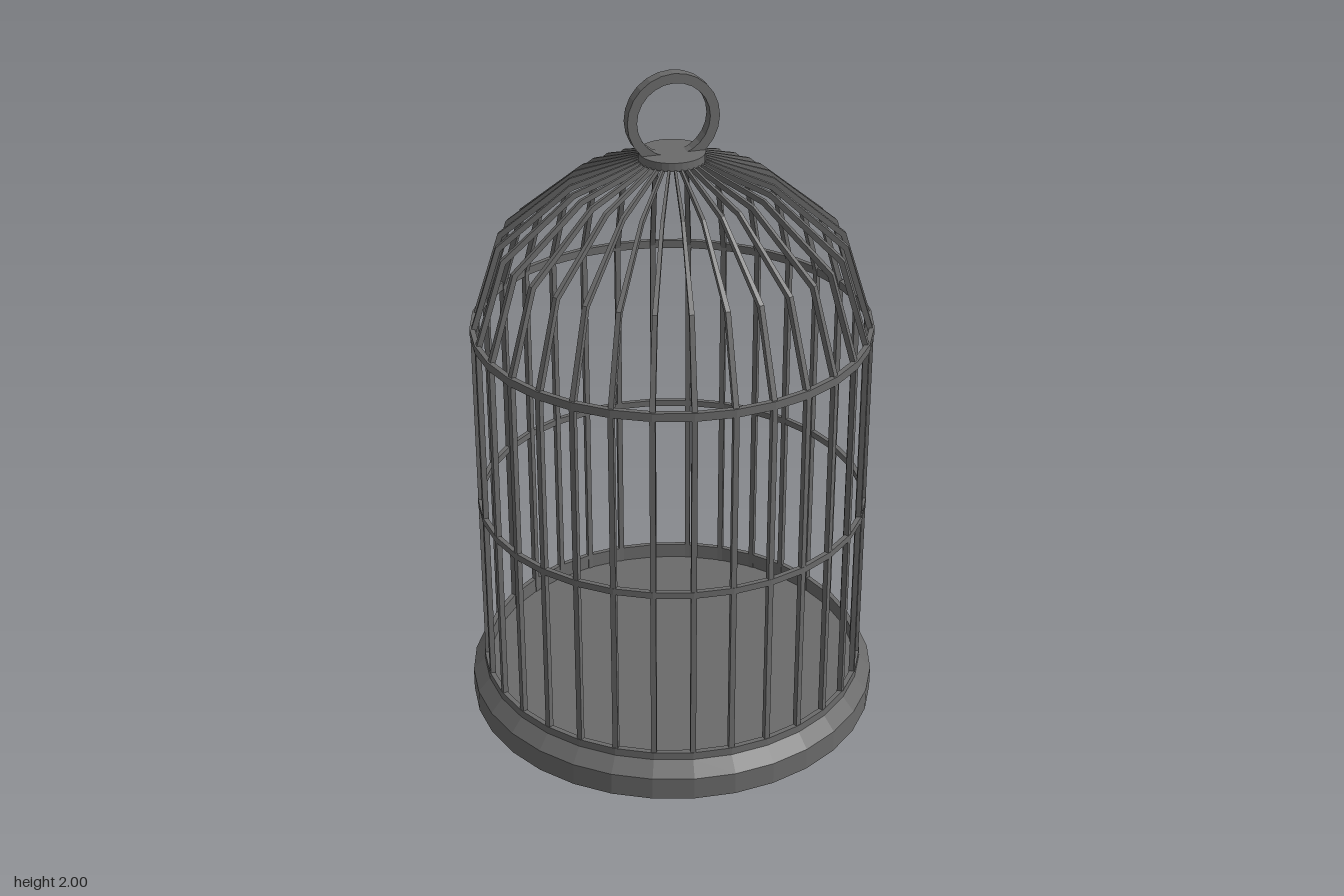
import * as THREE from 'three';

const BARS = 32;
const CAGE_R = 0.575;
const material = new THREE.MeshStandardMaterial({ color: 0x6a6a6a, flatShading: true });

function addMesh(parent, name, geometry) {
  const mesh = new THREE.Mesh(geometry, material);
  mesh.name = name;
  parent.add(mesh);
  return mesh;
}

// Revolved profile of [radius, height] points
function lathe(points, segments = BARS) {
  return new THREE.LatheGeometry(points.map(([r, y]) => new THREE.Vector2(r, y)), segments);
}

// Band with a rectangular section
function band(inner, outer, y0, y1, segments) {
  return lathe([[outer, y0], [outer, y1], [inner, y1], [inner, y0], [outer, y0]], segments);
}

// Rectangular bar swept along stations { r, y, w }, with mitred bends
function barGeometry(stations, depth) {
  const pos = [], index = [], last = stations.length - 1;
  const normal = (a, b) => new THREE.Vector2(b.y - a.y, a.r - b.r).normalize();
  stations.forEach((s, i) => {
    const before = Math.max(i - 1, 0), after = Math.min(i, last - 1);
    const n0 = normal(stations[before], stations[before + 1]);
    const n1 = normal(stations[after], stations[after + 1]);
    const n = n0.clone().add(n1).normalize();
    n.multiplyScalar(depth / 2 / n.dot(n0));
    for (const [u, v] of [[1, 1], [1, -1], [-1, -1], [-1, 1]]) {
      pos.push(s.r + u * n.x, s.y + u * n.y, v * s.w / 2);
    }
    if (i === last) return;
    for (let k = 0; k < 4; k++) {
      const a = i * 4 + k, b = i * 4 + (k + 1) % 4;
      index.push(a, b, b + 4, a, b + 4, a + 4);
    }
  });
  const e = last * 4;
  index.push(0, 2, 1, 0, 3, 2, e, e + 1, e + 2, e, e + 2, e + 3);
  const g = new THREE.BufferGeometry();
  g.setAttribute('position', new THREE.Float32BufferAttribute(pos, 3));
  g.setIndex(index);
  g.computeVertexNormals();
  return g;
}

export function createModel() {
  const model = new THREE.Group();
  model.name = 'birdcage';

  // Base tray with a bevelled edge and a slightly sunken floor
  addMesh(model, 'base', lathe([
    [0, 0], [0.622, 0], [0.622, 0.07], [0.585, 0.112], [0.57, 0.112], [0.57, 0.088], [0, 0.088],
  ]));

  // Horizontal hoops
  addMesh(model, 'bottomHoop', band(0.57, 0.585, 0.112, 0.136));
  addMesh(model, 'middleHoop', band(0.57, 0.584, 0.665, 0.685));
  addMesh(model, 'upperHoop', band(0.57, 0.585, 1.225, 1.25));

  // Upright bars that bend inward over the dome in three steps
  const bar = barGeometry([
    { r: CAGE_R, y: 0.088, w: 0.016 },
    { r: CAGE_R, y: 1.237, w: 0.016 },
    { r: 0.494, y: 1.495, w: 0.014 },
    { r: 0.285, y: 1.67, w: 0.01 },
    { r: 0.05, y: 1.755, w: 0.006 },
  ], 0.016);
  const bars = new THREE.Group();
  bars.name = 'bars';
  model.add(bars);
  for (let i = 0; i < BARS; i++) {
    addMesh(bars, 'bar', bar).rotation.y = (i / BARS) * Math.PI * 2;
  }

  // Cap disc where the bars meet
  const cap = addMesh(model, 'cap', new THREE.CylinderGeometry(0.095, 0.095, 0.025, BARS));
  cap.position.y = 1.756;

  // Flat hanging ring
  const ring = addMesh(model, 'hangingRing', band(0.106, 0.134, -0.018, 0.018, 24));
  ring.rotation.x = Math.PI / 2;
  ring.position.y = 1.866;

  return model;
}
